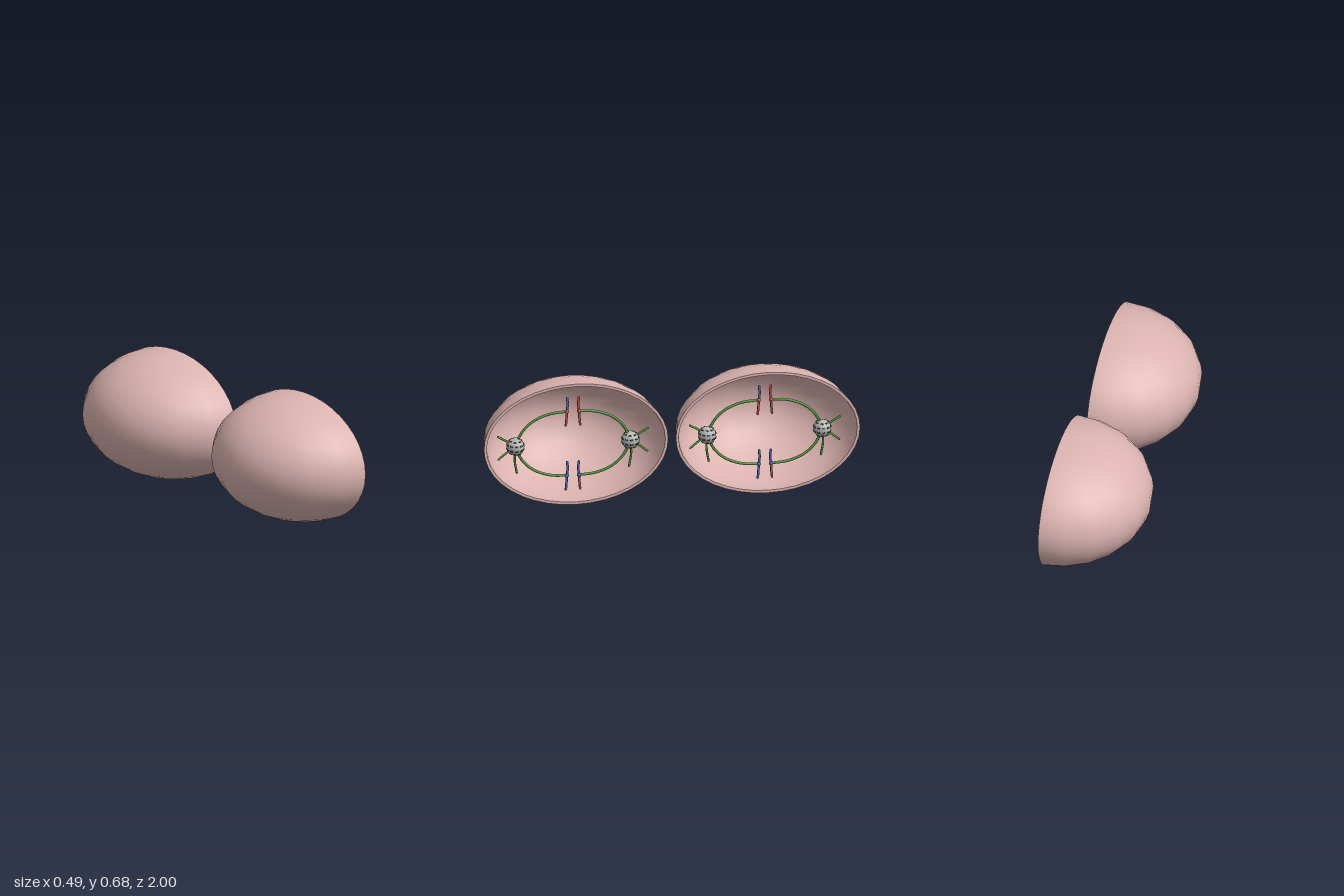
import * as THREE from 'three';

const mat = (color, side = THREE.FrontSide) => new THREE.MeshStandardMaterial({ color, side });
const PINK = 0xdbb3b0;
const pink = mat(PINK), pinkInside = mat(PINK, THREE.BackSide);
const green = mat(0x4f8f3c), red = mat(0xb5564c), blue = mat(0x5068ab);
const grey = mat(0xb4b6b2), dark = mat(0x434a42);

const OUTER = [0.485, 0.341, 0.49];
const WALL = 0.015;

function add(parent, name, geometry, material) {
  const mesh = new THREE.Mesh(geometry, material);
  mesh.name = name;
  parent.add(mesh);
  return mesh;
}

// Points are [z, y] pairs in the plane parallel to the cut face
function tube(points, radius, segments = 12) {
  const curve = new THREE.CatmullRomCurve3(points.map(([z, y]) => new THREE.Vector3(0, y, z)));
  return new THREE.TubeGeometry(curve, segments, radius, 8);
}

// A fibre or rod with rounded ends
function rod(parent, name, points, radius, material) {
  const g = new THREE.Group();
  g.name = name;
  add(g, name + 'Shaft', tube(points, radius), material);
  for (const [z, y] of [points[0], points[points.length - 1]])
    add(g, name + 'End', new THREE.SphereGeometry(radius, 8, 6), material).position.set(0, y, z);
  parent.add(g);
}

// Half ellipsoid cut open towards +x, with wall thickness
function makeMembrane() {
  const g = new THREE.Group();
  g.name = 'membrane';
  const inner = OUTER.map(r => r - WALL);
  const half = ([a, b, c]) =>
    new THREE.SphereGeometry(1, 10, 20, -Math.PI / 2, Math.PI).scale(a, b, c);
  add(g, 'outerWall', half(OUTER), pink);
  add(g, 'innerWall', half(inner), pinkInside);
  const shape = new THREE.Shape().absellipse(0, 0, OUTER[2], OUTER[1], 0, Math.PI * 2);
  shape.holes.push(new THREE.Path().absellipse(0, 0, inner[2], inner[1], 0, Math.PI * 2));
  add(g, 'cutRim', new THREE.ShapeGeometry(shape, 20).rotateY(Math.PI / 2), pink);
  return g;
}

// Ball with rows of small dark slots, and three short rays pointing away
function makeCentrosome(side) {
  const g = new THREE.Group();
  g.name = 'centrosome';
  const R = 0.047;
  add(g, 'centrosomeBall', new THREE.SphereGeometry(R, 24, 16), grey);
  for (const lat of [-48, -16, 16, 48]) {
    const phi = THREE.MathUtils.degToRad(lat);
    const count = Math.round(10 * Math.cos(phi));
    for (let i = 0; i < count; i++) {
      const a = (i + 0.5) / count * Math.PI * 2;
      const slot = add(g, 'slot', new THREE.BoxGeometry(0.016, 0.008, 0.006), dark);
      slot.position.setFromSphericalCoords(R - 0.001, Math.PI / 2 - phi, a);
      slot.lookAt(slot.position.clone().multiplyScalar(2));
    }
  }
  const rays = [
    [[0, 0], [0.05, 0.035], [0.093, 0.06]],
    [[0, 0], [0.05, -0.035], [0.09, -0.068]],
    [[0, 0], [0.004, -0.075], [-0.007, -0.148]],
  ];
  for (const ray of rays)
    rod(g, 'asterRay', ray.map(([z, y]) => [z * side, y]), 0.006, green);
  return g;
}

// Slightly bent strand, upper and lower arm in their own colours, bead in the middle
function makeChromatid(upper, lower, bead, bend) {
  const g = new THREE.Group();
  g.name = 'chromatid';
  rod(g, 'upperArm', [[0, 0], [-bend, 0.04], [-bend * 0.4, 0.076]], 0.0065, upper);
  rod(g, 'lowerArm', [[0, 0], [bend * 0.3, -0.04], [bend, -0.078]], 0.0065, lower);
  add(g, 'centromere', new THREE.SphereGeometry(0.012, 12, 8), bead);
  return g;
}

function makeCell() {
  const cell = new THREE.Group();
  cell.name = 'cell';
  cell.add(makeMembrane());

  const spindle = new THREE.Group();
  spindle.name = 'spindle';
  spindle.position.x = -0.058;
  cell.add(spindle);

  const poleY = -0.016;
  // One pole, its two fibres and their chromatids on each side
  for (const side of [1, -1]) {
    const poleZ = side > 0 ? 0.313 : -0.298;
    const pole = makeCentrosome(side);
    pole.position.set(0, poleY, poleZ);
    spindle.add(pole);

    for (const up of [1, -1]) {
      const z = side > 0 ? 0.04 : -0.026;
      const y = up > 0 ? 0.165 : -0.197;
      const at = (t, k) => [z + (poleZ - z) * t, poleY + (y - poleY) * k];
      rod(spindle, 'spindleFibre',
        [at(1, 0), at(0.88, 0.42), at(0.66, 0.75), at(0.34, 0.95), at(0, 1)], 0.0075, green);

      const upper = up > 0 && side < 0 ? red : blue;
      const lower = up < 0 && side > 0 ? blue : red;
      const chromatid = makeChromatid(upper, lower, up > 0 ? red : blue, 0.005 * side);
      chromatid.position.set(0, y, z);
      spindle.add(chromatid);
    }
  }
  return cell;
}

export function createModel() {
  const model = new THREE.Group();
  model.name = 'dividingCells';
  for (const z of [0.51, -0.51]) {
    const cell = makeCell();
    cell.position.set(OUTER[0] / 2, OUTER[1], z);
    model.add(cell);
  }
  return model;
}
